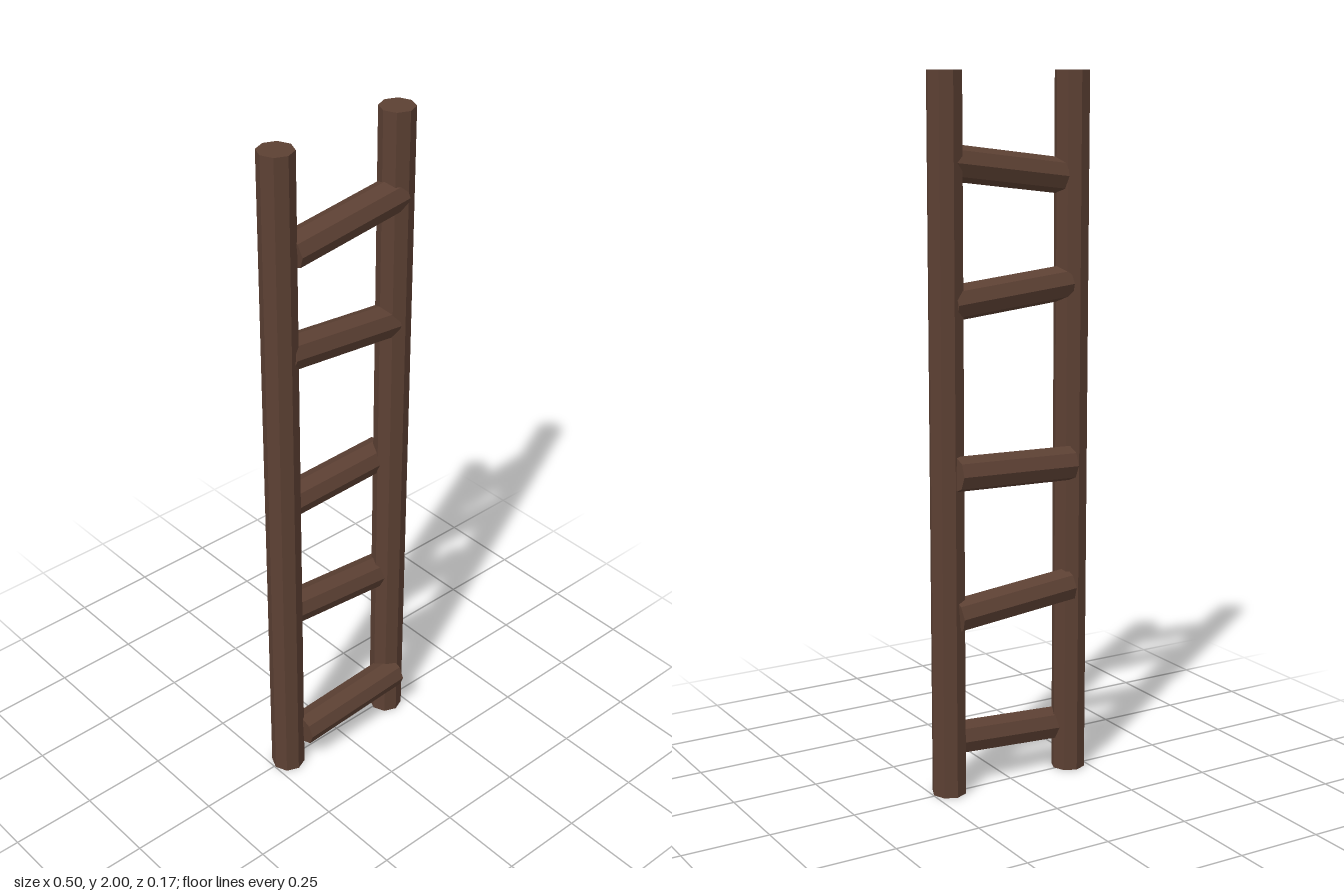
import * as THREE from 'three';

export function createModel() {
  const ladder = new THREE.Group();
  ladder.name = 'ladder';
  const wood = new THREE.MeshStandardMaterial({ color: 0x5c4033, flatShading: true });
  wood.name = 'darkWood';

  // Eight-sided pole used for both rails and rungs
  const addPole = (name, radius, length, x, y, z, tilt) => {
    const pole = new THREE.Mesh(new THREE.CylinderGeometry(radius, radius, length, 8), wood);
    pole.name = name;
    pole.position.set(x, y, z);
    pole.rotation.z = tilt;
    ladder.add(pole);
  };

  // Upright rails
  addPole('leftRail', 0.049, 2, 0.199, 1, 0.005, 0);
  addPole('rightRail', 0.049, 2, -0.199, 1, 0.005, 0);

  // Crooked rungs: centre x, y, z and slope
  const rungs = [
    [0.015, 0.137, 0.035, 0.055],
    [0.003, 0.541, -0.017, -0.1],
    [0.012, 0.923, -0.036, 0.025],
    [0.003, 1.405, 0.004, -0.1],
    [0.018, 1.74, 0.011, 0.125],
  ];
  rungs.forEach(([x, y, z, slope], i) =>
    addPole(`rung${i + 1}`, 0.049, 0.367, x, y, z, Math.PI / 2 + slope));

  return ladder;
}
